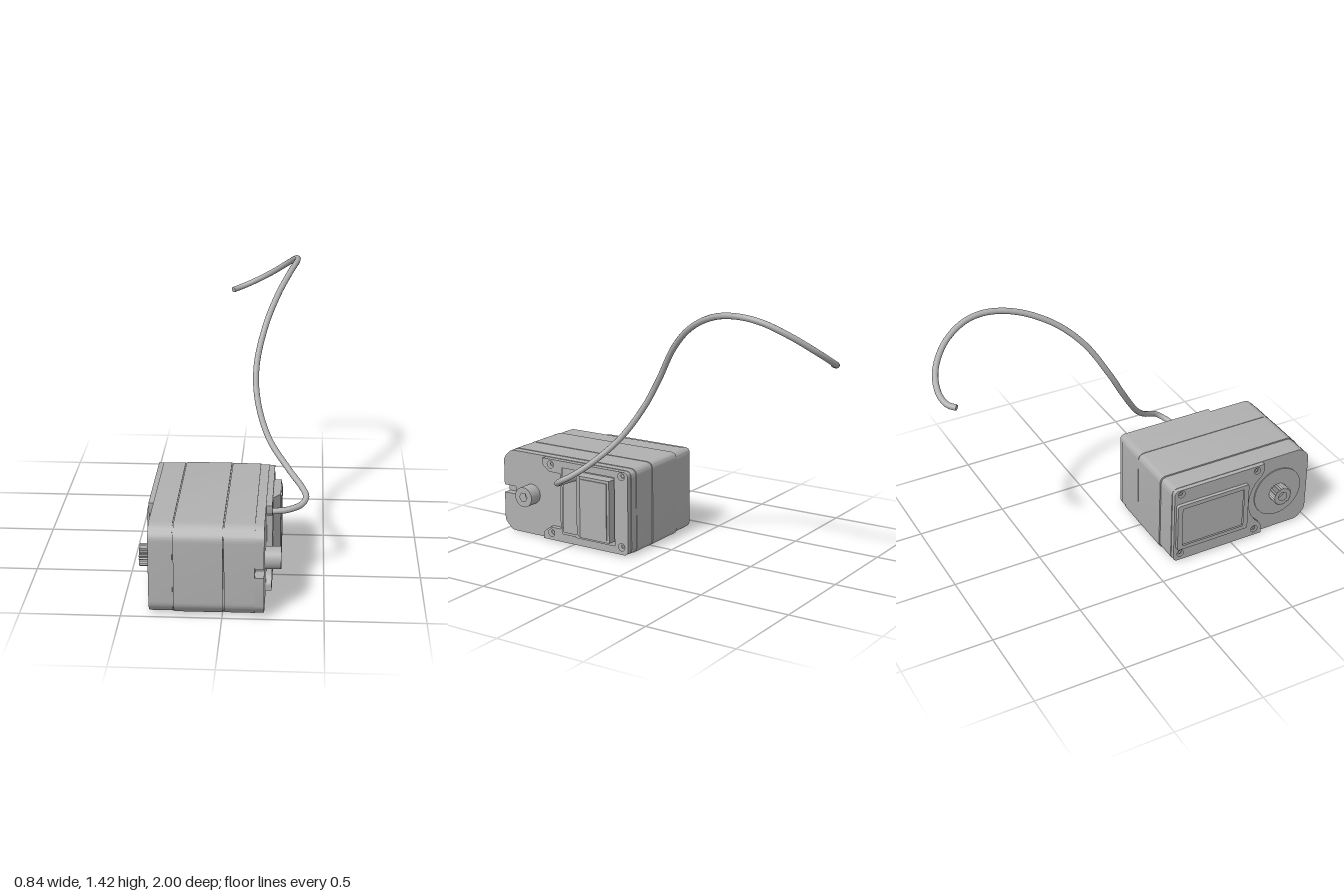
import * as THREE from 'three';
import { toCreasedNormals } from 'three/addons/utils/BufferGeometryUtils.js';

const grey = new THREE.MeshStandardMaterial({ color: 0xb0b0b0 });
grey.name = 'grey plastic';

// Closed path from [z, y, cornerRadius] points, seen along the x axis
function trace(points, path = new THREE.Shape()) {
  const pts = points.map(([z, y, r = 0]) => ({ p: new THREE.Vector2(-z, y), r }));
  pts.forEach(({ p, r }, i) => {
    const prev = pts[(i + pts.length - 1) % pts.length].p;
    const next = pts[(i + 1) % pts.length].p;
    const a = p.clone().add(prev.clone().sub(p).setLength(r));
    const b = p.clone().add(next.clone().sub(p).setLength(r));
    if (i === 0) path.moveTo(a.x, a.y); else path.lineTo(a.x, a.y);
    if (r > 0) path.quadraticCurveTo(p.x, p.y, b.x, b.y);
  });
  path.closePath();
  return path;
}

const rect = (z0, z1, y0, y1, r = 0) => [[z0, y0, r], [z1, y0, r], [z1, y1, r], [z0, y1, r]];

// Regular polygon, or a toothed ring when inner differs from outer
function ring(z, y, outer, n, inner = outer) {
  return Array.from({ length: n }, (_, i) => {
    const a = (i / n) * Math.PI * 2, r = i % 2 ? inner : outer;
    return [z + Math.cos(a) * r, y + Math.sin(a) * r];
  });
}

export function createModel() {
  const model = new THREE.Group();
  model.name = 'servo motor';

  const add = (name, geometry) => {
    const mesh = new THREE.Mesh(geometry, grey);
    mesh.name = name;
    model.add(mesh);
    return mesh;
  };

  // Slab with an outline in z and y, running from x0 to x1
  const slab = (name, x0, x1, outline, holes = []) => {
    const shape = trace(outline);
    holes.forEach(h => shape.holes.push(trace(h, new THREE.Path())));
    const geo = new THREE.ExtrudeGeometry(shape, { depth: x1 - x0, bevelEnabled: false, curveSegments: 8 });
    geo.rotateY(Math.PI / 2);
    geo.translate(x0, 0, 0);
    return add(name, toCreasedNormals(geo, 0.6));
  };

  const body = (d, rear = 0.04) => [
    [0.12 + d, 0.005 + d, rear], [0.945, 0.005 + d, 0.025], [1 - d, 0.06, 0.025],
    [1 - d, 0.43, 0.025], [0.945, 0.485 - d, 0.025], [0.12 + d, 0.485 - d, rear]];

  // Case: three shells with narrow seams over a core
  slab('core', -0.34, 0.15, body(0.008));
  slab('gearCase', -0.36, -0.242, body(0.004));
  slab('middleCase', -0.237, 0.005, body(0));
  slab('motorCase', 0.01, 0.16, body(0.001));
  slab('motorCover', 0.16, 0.205, [
    [0.124, 0.009, 0.04], [0.945, 0.009, 0.02], [0.997, 0.06, 0.02],
    [0.997, 0.225], [0.915, 0.225], [0.915, 0.27], [0.997, 0.27],
    [0.997, 0.43, 0.02], [0.945, 0.481, 0.02], [0.124, 0.481, 0.04]],
    [rect(0.475, 0.58, 0.06, 0.44)]);

  // Screws sit in holes at four corners of each side plate
  const corners = [[0.17, 0.055], [0.17, 0.452], [0.645, 0.052], [0.645, 0.448]];
  const screwHoles = corners.map(([z, y]) => ring(z, y, 0.021, 16));

  // Left side plate with lugs, cable groove and window
  slab('leftPlate', 0.205, 0.235, [
    [0.128, 0.012, 0.03], [0.70, 0.012], [0.70, 0.05, 0.01], [0.655, 0.085, 0.01], [0.58, 0.085],
    [0.58, 0.405], [0.655, 0.405, 0.01], [0.70, 0.44, 0.01], [0.70, 0.478], [0.128, 0.478, 0.03]],
    [...screwHoles, [[0.215, 0.055], [0.475, 0.055], [0.475, 0.06], [0.565, 0.06], [0.565, 0.40],
      [0.565, 0.44], [0.215, 0.44]]]);

  // Right side plate, cut round the output shaft
  const bite = Array.from({ length: 13 }, (_, i) => {
    const a = Math.PI * (1.29 - i * 0.58 / 12);
    return [0.80 + Math.cos(a) * 0.2, 0.245 - Math.sin(a) * -0.2];
  });
  slab('rightPlate', -0.385, -0.36, [
    [0.128, 0.012, 0.03], [0.69, 0.012], [0.69, 0.06], ...bite,
    [0.69, 0.43], [0.69, 0.478], [0.128, 0.478, 0.03]], screwHoles);
  slab('rightPanel', -0.405, -0.385, rect(0.14, 0.585, 0.095, 0.39, 0.015),
    [rect(0.17, 0.555, 0.12, 0.365)]);
  slab('rightPanelInset', -0.397, -0.385, rect(0.17, 0.555, 0.12, 0.365));

  for (const [x, side] of [[0.212, 'left'], [-0.368, 'right']]) {
    corners.forEach(([z, y]) => {
      slab(side + 'Screw', x - 0.007, x + 0.007, ring(z, y, 0.015, 12), [ring(z, y, 0.007, 6)]);
    });
  }

  // Raised motor block with a sloped front edge
  const wedge = new THREE.Shape([
    [0.20, -0.225], [0.272, -0.225], [0.272, -0.42], [0.235, -0.47], [0.20, -0.47],
  ].map(([x, z]) => new THREE.Vector2(x, z)).reverse());
  const wedgeGeo = new THREE.ExtrudeGeometry(wedge, { depth: 0.35, bevelEnabled: false });
  wedgeGeo.rotateX(-Math.PI / 2);
  wedgeGeo.translate(0, 0.075, 0);
  add('motorBlock', wedgeGeo);
  slab('motorBlockPanel', 0.272, 0.278, rect(0.24, 0.41, 0.09, 0.41));

  // Pivot boss on the left, splined output shaft on the right
  slab('pivotBoss', 0.20, 0.285, ring(0.80, 0.245, 0.057, 32), [ring(0.80, 0.245, 0.026, 6)]);
  slab('pivotFloor', 0.205, 0.235, ring(0.80, 0.245, 0.03, 12));
  slab('shaftSeat', -0.366, -0.36, ring(0.80, 0.245, 0.15, 40));
  slab('outputShaft', -0.42, -0.36, ring(0.80, 0.245, 0.057, 48, 0.049), [ring(0.80, 0.245, 0.027, 20)]);
  slab('shaftFloor', -0.385, -0.36, ring(0.80, 0.245, 0.03, 16));

  // Cable sweeping up and curling behind
  const path = new THREE.CatmullRomCurve3([
    [0.17, 0.37, 0.53], [0.23, 0.375, 0.527], [0.31, 0.382, 0.52], [0.38, 0.40, 0.488],
    [0.402, 0.425, 0.448], [0.38, 0.455, 0.395], [0.31, 0.52, 0.315], [0.20, 0.65, 0.20],
    [0.137, 0.82, 0.09], [0.127, 0.98, 0.0], [0.17, 1.17, -0.12], [0.23, 1.30, -0.26],
    [0.295, 1.385, -0.44], [0.33, 1.407, -0.60], [0.322, 1.388, -0.73], [0.27, 1.325, -0.86],
    [0.17, 1.24, -0.955], [0.06, 1.175, -0.984], [-0.01, 1.148, -0.968], [-0.045, 1.142, -0.935],
  ].map(p => new THREE.Vector3(...p)));
  add('cable', new THREE.TubeGeometry(path, 140, 0.016, 12));
  const tip = add('cableTip', new THREE.CircleGeometry(0.016, 12));
  tip.position.copy(path.getPoint(1));
  tip.lookAt(path.getPoint(1).add(path.getTangent(1)));

  return model;
}
